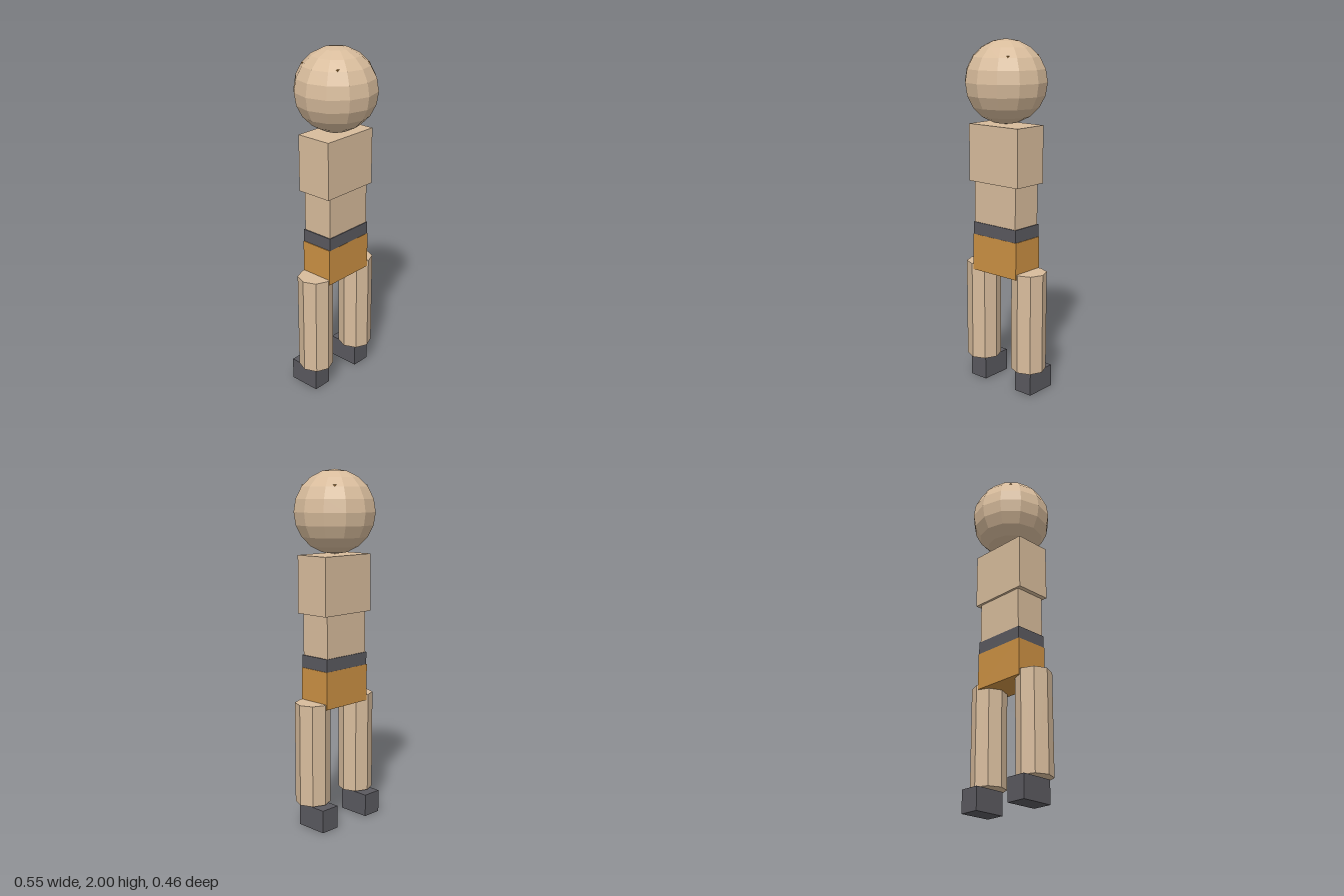
import * as THREE from 'three';

export function createModel() {
  const model = new THREE.Group();
  model.name = 'figure';

  const material = (name, color) => {
    const m = new THREE.MeshStandardMaterial({ color, flatShading: true });
    m.name = name;
    return m;
  };
  const skin = material('skin', 0xd8bc9c);
  const orange = material('orange', 0xcb9043);
  const charcoal = material('charcoal', 0x5a595f);

  const add = (name, geometry, mat, x, y, z) => {
    const mesh = new THREE.Mesh(geometry, mat);
    mesh.name = name;
    mesh.position.set(x, y, z);
    model.add(mesh);
  };
  // Box given by its width, depth and the heights of its bottom and top
  const block = (name, mat, width, depth, y0, y1, x = 0, z = 0) =>
    add(name, new THREE.BoxGeometry(width, y1 - y0, depth), mat, x, (y0 + y1) / 2, z);

  // Head, with the block inside whose top corners just break the surface
  add('head', new THREE.SphereGeometry(0.231, 12, 10), skin, 0, 1.769, 0);
  block('headBlock', orange, 0.254, 0.254, 1.8, 1.915);

  // Trunk
  block('chest', skin, 0.358, 0.216, 1.212, 1.536);
  block('waist', skin, 0.304, 0.188, 0.975, 1.212);
  block('belt', charcoal, 0.316, 0.198, 0.903, 0.975);
  block('hips', orange, 0.324, 0.2, 0.69, 0.903);

  // Octagonal legs and block feet
  for (const [side, s] of [['left', 1], ['right', -1]]) {
    add(side + 'Leg', new THREE.CylinderGeometry(0.1, 0.1, 0.58, 8), skin, s * 0.174, 0.43, 0);
    block(side + 'Foot', charcoal, 0.115, 0.189, 0, 0.13, s * 0.174, -0.0435);
  }
  return model;
}
